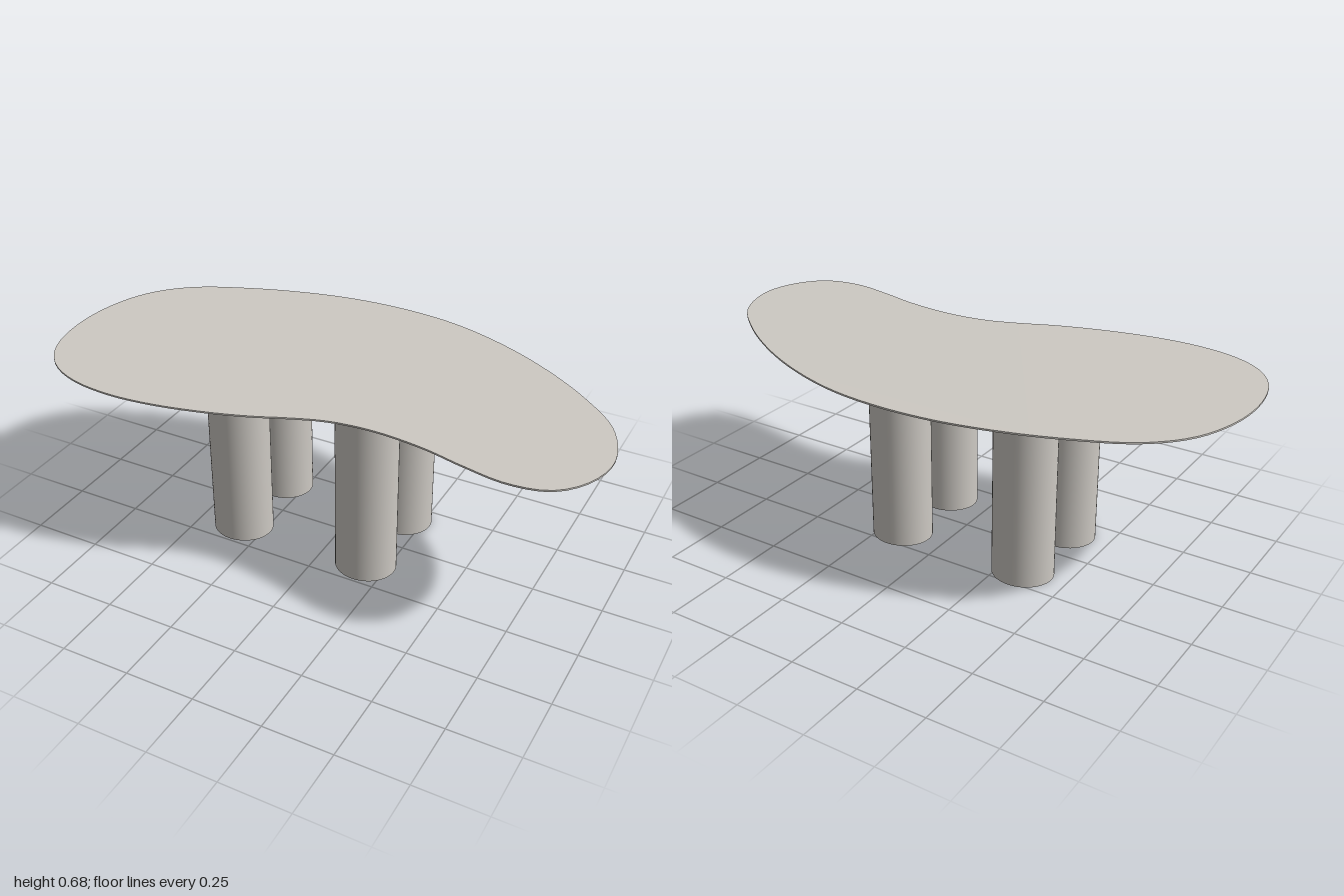
import * as THREE from 'three';

const TOP = 0.677, LIP = 0.671, UNDER = 0.638, INSET = 0.08, STEPS = 128;

// Kidney outline as x, z pairs, running back -> left end -> front -> right end
const OUTLINE = [
  [0, -0.51], [0.2, -0.49], [0.4, -0.43], [0.6, -0.335], [0.8, -0.2], [0.94, -0.06],
  [1, 0.12], [0.965, 0.26], [0.88, 0.35], [0.75, 0.376], [0.6, 0.352], [0.45, 0.317],
  [0.27, 0.3], [0.12, 0.315], [0, 0.355], [-0.12, 0.405], [-0.28, 0.455], [-0.45, 0.491],
  [-0.61, 0.503], [-0.77, 0.481], [-0.89, 0.42], [-0.965, 0.32], [-1, 0.16], [-0.985, -0.02],
  [-0.92, -0.18], [-0.8, -0.3], [-0.6, -0.395], [-0.4, -0.46], [-0.2, -0.5],
];

// Flat cap filling a loop of x, z points
function cap(loop, y, up) {
  const shape = new THREE.Shape(loop.map(p => new THREE.Vector2(p.x, up ? -p.z : p.z)));
  return new THREE.ShapeGeometry(shape).rotateX(up ? -Math.PI / 2 : Math.PI / 2).translate(0, y, 0);
}

// Smooth band joining an upper loop to a lower loop
function band(upper, yUpper, lower, yLower) {
  const positions = [], index = [], n = upper.length;
  upper.forEach(p => positions.push(p.x, yUpper, p.z));
  lower.forEach(p => positions.push(p.x, yLower, p.z));
  for (let i = 0; i < n; i++) {
    const j = (i + 1) % n;
    index.push(i, j, n + i, j, n + j, n + i);
  }
  const geometry = new THREE.BufferGeometry();
  geometry.setAttribute('position', new THREE.Float32BufferAttribute(positions, 3));
  geometry.setIndex(index);
  geometry.computeVertexNormals();
  return geometry;
}

export function createModel() {
  const model = new THREE.Group();
  model.name = 'coffeeTable';
  const stone = new THREE.MeshStandardMaterial({ color: 0xcdc9c3 });
  stone.name = 'warm grey';

  const add = (parent, name, geometry) => {
    const mesh = new THREE.Mesh(geometry, stone);
    mesh.name = name;
    parent.add(mesh);
    return mesh;
  };

  // Outer loop, and the inner loop offset along the outline's normal
  const curve = new THREE.CatmullRomCurve3(OUTLINE.map(([x, z]) => new THREE.Vector3(x, 0, z)), true);
  const outer = [], inner = [];
  for (let i = 0; i < STEPS; i++) {
    const p = curve.getPointAt(i / STEPS), t = curve.getTangentAt(i / STEPS);
    outer.push(p);
    inner.push(new THREE.Vector3(p.x - t.z * INSET, 0, p.z + t.x * INSET));
  }

  // Table top: flat surface, thin lip, undercut bevel, underside
  const tableTop = new THREE.Group();
  tableTop.name = 'tableTop';
  model.add(tableTop);
  add(tableTop, 'topSurface', cap(outer, TOP, true));
  add(tableTop, 'edgeLip', band(outer, TOP, outer, LIP));
  add(tableTop, 'undercutBevel', band(outer, LIP, inner, UNDER));
  add(tableTop, 'underside', cap(inner, UNDER, false));

  // Four slightly oval column legs
  for (const [side, x] of [['Right', -0.334], ['Left', 0.171]]) {
    for (const [end, z] of [['front', 0.14], ['back', -0.164]]) {
      const column = new THREE.CylinderGeometry(1, 1, UNDER, 48);
      column.scale(0.111, 1, 0.1015);
      add(model, `${end}${side}Leg`, column).position.set(x, UNDER / 2, z);
    }
  }
  return model;
}
